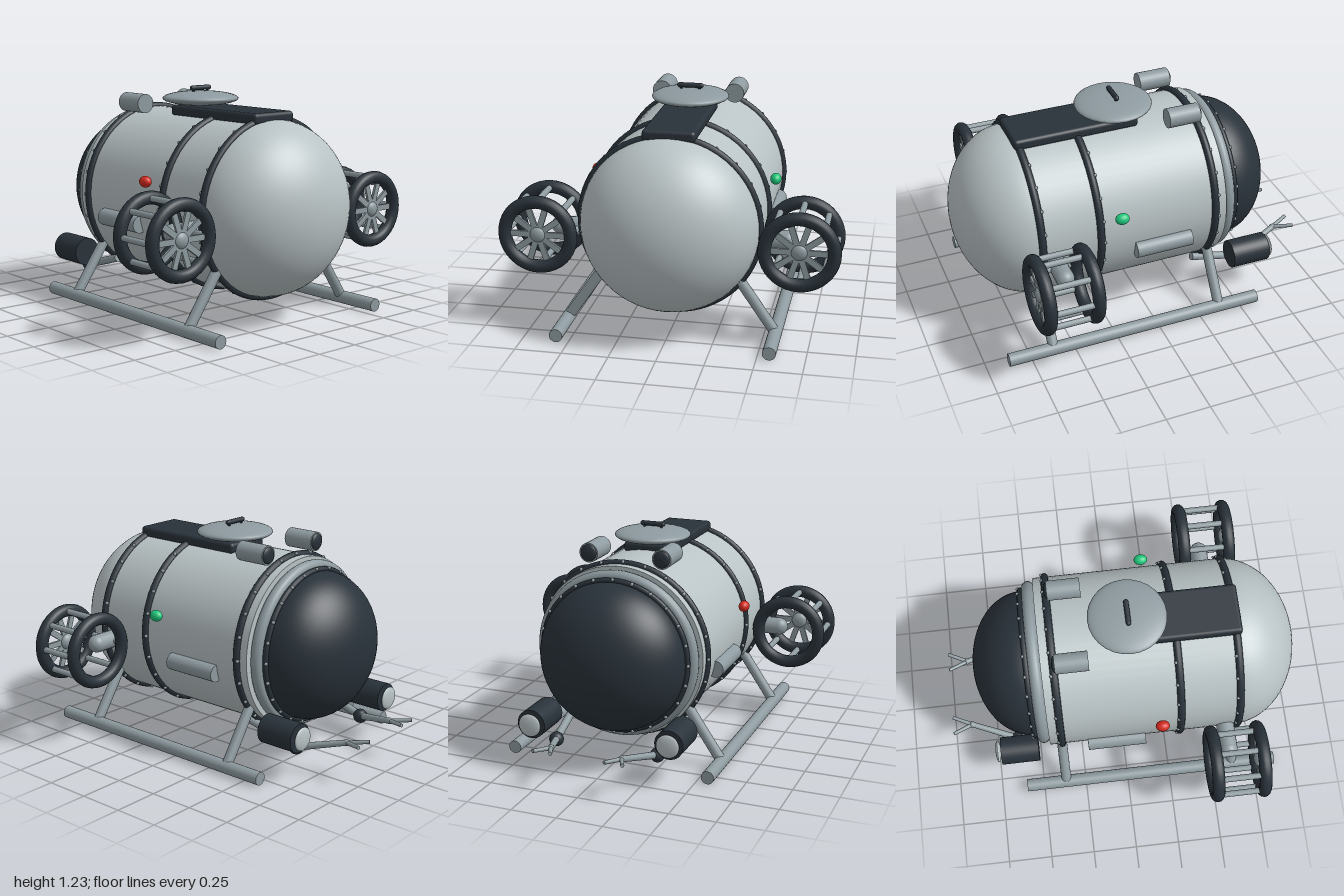
import * as THREE from 'three';
import { RoundedBoxGeometry } from 'three/addons/geometries/RoundedBoxGeometry.js';

const mat = (name, color) => {
  const m = new THREE.MeshStandardMaterial({ color });
  m.name = name;
  return m;
};

export function createModel() {
  const hullGrey = mat('hull grey', 0xb9c3c5);
  const metal = mat('metal grey', 0x8e9ba0);
  const dark = mat('dark slate', 0x29323a);
  const red = mat('port red', 0xd42a1e);
  const green = mat('starboard green', 0x1fc77c);

  const model = new THREE.Group();
  model.name = 'submersible';
  const AXIS = 0.61, R = 0.475;

  const add = (parent, name, geo, material, x = 0, y = 0, z = 0) => {
    const m = new THREE.Mesh(geo, material);
    m.name = name;
    m.position.set(x, y, z);
    parent.add(m);
    return m;
  };
  const group = (name, parent = model) => {
    const g = new THREE.Group();
    g.name = name;
    parent.add(g);
    return g;
  };
  const cylZ = (r, length, seg = 24) => new THREE.CylinderGeometry(r, r, length, seg).rotateX(Math.PI / 2);
  const ellipsoid = (rx, ry, rz) => new THREE.SphereGeometry(1, 28, 18).scale(rx, ry, rz);
  const dome = (r, depth, dir) => new THREE.SphereGeometry(1, 56, 20, 0, Math.PI * 2, 0, Math.PI / 2)
    .rotateX(dir * Math.PI / 2).scale(r, r, depth);
  // Round rod between two points
  const rod = (parent, name, a, b, r0, r1, material) => {
    const p = new THREE.Vector3(...a), q = new THREE.Vector3(...b);
    const d = q.clone().sub(p);
    const m = add(parent, name, new THREE.CylinderGeometry(r1, r0, d.length(), 16), material);
    m.position.copy(p).add(q).multiplyScalar(0.5);
    m.quaternion.setFromUnitVectors(new THREE.Vector3(0, 1, 0), d.normalize());
  };

  // Pressure hull, front dome and rear dome
  add(model, 'hullBarrel', cylZ(R, 1.05, 64), hullGrey, 0, AXIS, 0.095);
  add(model, 'frontDome', dome(R, 0.38, 1), hullGrey, 0, AXIS, 0.62);
  add(model, 'rearNeck', cylZ(0.42, 0.09, 64), metal, 0, AXIS, -0.465);
  add(model, 'rearCollar', new THREE.TorusGeometry(0.428, 0.034, 16, 64), metal, 0, AXIS, -0.463);
  add(model, 'rearDome', dome(0.41, 0.31, -1), dark, 0, AXIS, -0.508);

  // Riveted bands
  const band = (z, r, tube) => {
    const g = group('rivetedBand');
    g.position.set(0, AXIS, z);
    add(g, 'bandRing', new THREE.TorusGeometry(r, tube, 12, 72), dark);
    const count = 24, rivet = new THREE.SphereGeometry(0.01, 8, 6);
    for (let i = 0; i < count; i++) {
      const a = (i / count) * Math.PI * 2;
      add(g, 'rivet', rivet, metal, Math.cos(a) * (r + tube * 0.6), Math.sin(a) * (r + tube * 0.6), -tube * 0.75);
    }
  };
  band(0.63, R, 0.021);
  band(0.305, R, 0.021);
  band(-0.363, R, 0.021);
  band(-0.508, 0.415, 0.016);

  // Top deck plate and hatch with handle
  add(model, 'deckPlate', new RoundedBoxGeometry(0.28, 0.06, 0.7, 3, 0.02), dark, 0, 1.092, 0.31);
  add(model, 'hatch', ellipsoid(0.213, 0.04, 0.213), metal, 0, 1.158, 0.055);
  add(model, 'hatchHandle', new THREE.CapsuleGeometry(0.014, 0.12, 6, 12).rotateZ(Math.PI / 2), dark, 0, 1.216, 0.055);
  for (const x of [-0.05, 0.05])
    add(model, 'handlePost', new THREE.CylinderGeometry(0.008, 0.008, 0.03, 8), dark, x, 1.202, 0.055);

  // Ducted thruster: two rings joined by rods, spoked front, held by a pylon
  const thruster = (s, side) => {
    const t = group('thruster', side);
    t.position.set(s * 0.69, 0.54, 0.595);
    const ring = new THREE.TorusGeometry(0.18, 0.035, 14, 40);
    add(t, 'frontRing', ring, dark, 0, 0, 0.13);
    add(t, 'rearRing', ring, dark, 0, 0, -0.13);
    for (let i = 0; i < 8; i++) {
      const a = (i / 8) * Math.PI * 2;
      add(t, 'ringRod', cylZ(0.017, 0.26, 12), metal, Math.cos(a) * 0.18, Math.sin(a) * 0.18, 0);
    }
    for (let i = 0; i < 5; i++) {
      const spoke = add(t, 'spoke', new THREE.BoxGeometry(0.34, 0.032, 0.014), metal, 0, 0, 0.13);
      spoke.rotation.z = (i / 5) * Math.PI;
    }
    add(t, 'spokeHub', ellipsoid(0.045, 0.045, 0.03), metal, 0, 0, 0.125);
    rod(side, 'pylon', [s * 0.43, 0.54, 0.56], [s * 0.61, 0.54, 0.56], 0.05, 0.05, metal);
    add(side, 'pylonEnd', ellipsoid(0.05, 0.05, 0.05), metal, s * 0.61, 0.54, 0.56);
  };

  for (const s of [-1, 1]) {
    const side = group(s > 0 ? 'leftSide' : 'rightSide');
    thruster(s, side);

    // Landing skid and struts
    add(side, 'skid', cylZ(0.036, 1.48), metal, s * 0.565, 0.036, 0.14);
    for (const z of [0.625, -0.367])
      rod(side, 'skidStrut', [s * 0.565, 0.04, z], [s * 0.34, 0.37, z], 0.029, 0.029, metal);

    // Side tank and navigation light
    add(side, 'sideTank', cylZ(0.048, 0.325), metal, s * 0.47, 0.502, -0.055);
    add(side, 'navigationLight', ellipsoid(0.03, 0.031, 0.039), s > 0 ? green : red, s * 0.5, 0.75, 0.195);

    // Upper lamp facing the rear
    add(side, 'upperLamp', cylZ(0.054, 0.18), metal, s * 0.21, 1.122, -0.265);
    add(side, 'upperLampLens', ellipsoid(0.046, 0.046, 0.016), dark, s * 0.21, 1.122, -0.355);

    // Rear floodlight
    add(side, 'floodlight', cylZ(0.08, 0.22, 32), dark, s * 0.395, 0.243, -0.615);
    add(side, 'floodlightLens', ellipsoid(0.064, 0.064, 0.016), hullGrey, s * 0.395, 0.243, -0.743);

    // Manipulator arm with two-pronged claw
    const arm = group('manipulatorArm', side);
    const elbow = [s * 0.295, 0.135, -0.625], wrist = [s * 0.2, 0.2, -0.885];
    rod(arm, 'upperArm', [s * 0.32, 0.23, -0.3], elbow, 0.022, 0.022, metal);
    add(arm, 'elbow', ellipsoid(0.04, 0.04, 0.04), dark, ...elbow);
    rod(arm, 'forearm', elbow, wrist, 0.02, 0.016, metal);
    add(arm, 'wrist', ellipsoid(0.018, 0.018, 0.018), metal, ...wrist);
    for (const dx of [-0.05, 0.05])
      rod(arm, 'clawProng', wrist, [s * 0.2 + dx, 0.217, -0.995], 0.012, 0.01, metal);
  }
  return model;
}
